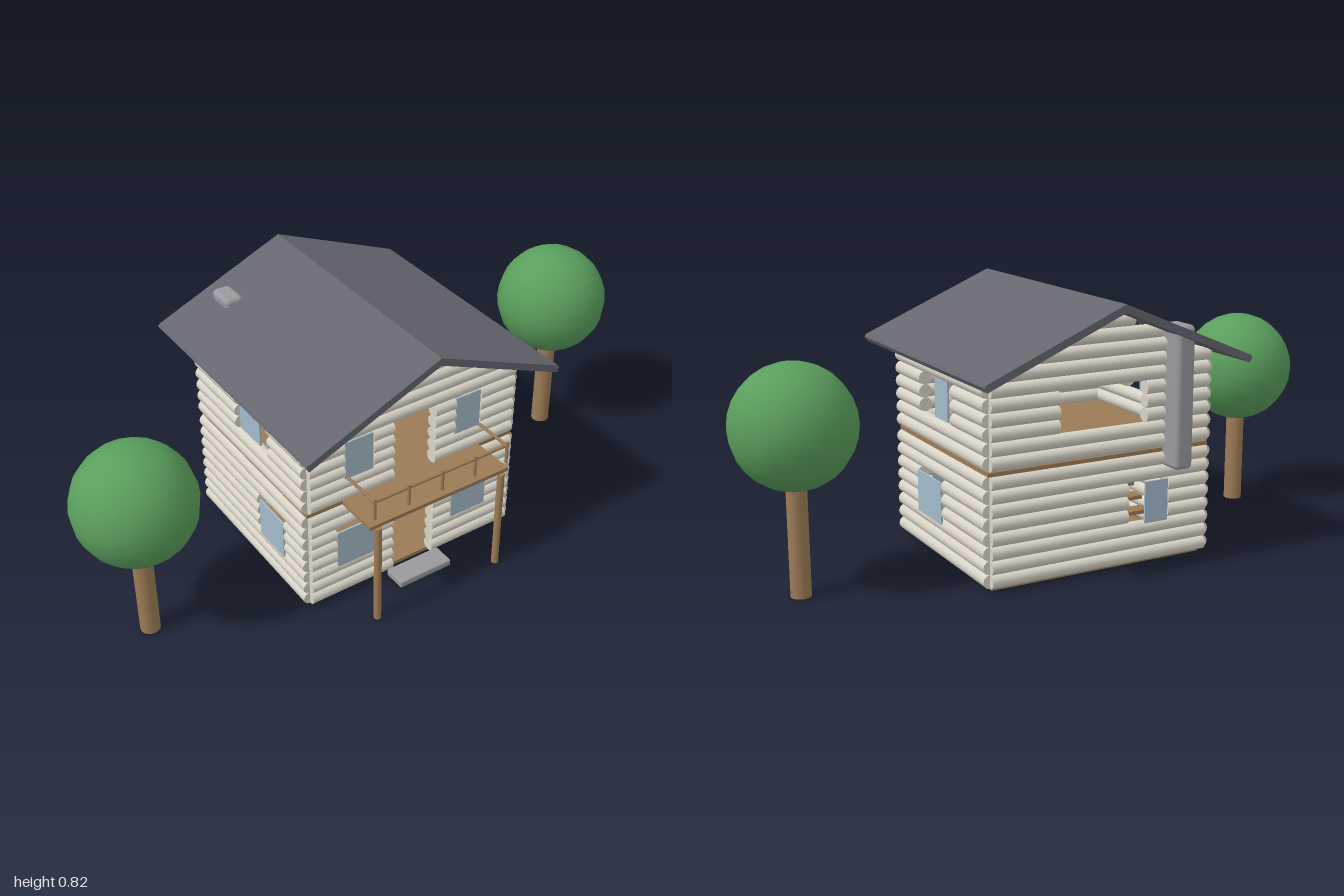
import * as THREE from 'three';
import { RoundedBoxGeometry } from 'three/addons/geometries/RoundedBoxGeometry.js';

const mat = (name, color) => {
  const m = new THREE.MeshStandardMaterial({ color });
  m.name = name;
  return m;
};

export function createModel() {
  const root = new THREE.Group();
  const M = {
    log: mat('paleLog', 0xd8d3c6),
    wood: mat('wood', 0x9c7b56),
    roof: mat('slate', 0x65666e),
    stone: mat('stone', 0x98989e),
    glass: mat('glass', 0xa3bac9),
    leaf: mat('leaf', 0x5a9e5c),
  };
  const add = (name, geo, m, x = 0, y = 0, z = 0, parent = root) => {
    const o = new THREE.Mesh(geo, m);
    o.name = name;
    o.position.set(x, y, z);
    parent.add(o);
    return o;
  };
  // Box given by its lower and upper limits on each axis
  const box = (name, m, x0, x1, y0, y1, z0, z1, parent) =>
    add(name, new THREE.BoxGeometry(x1 - x0, y1 - y0, z1 - z0), m,
      (x0 + x1) / 2, (y0 + y1) / 2, (z0 + z1) / 2, parent);
  // Round bar between two points
  const bar = (name, m, a, b, r, parent, sides = 12) => {
    const p = new THREE.Vector3(...a), q = new THREE.Vector3(...b);
    const d = q.clone().sub(p);
    const o = add(name, new THREE.CylinderGeometry(r, r, d.length(), sides), m, 0, 0, 0, parent);
    o.position.copy(p).add(q).multiplyScalar(0.5);
    o.quaternion.setFromUnitVectors(new THREE.Vector3(0, 1, 0), d.normalize());
    return o;
  };

  const CX = -0.02, PITCH = 0.0415, R = 0.0212;
  const XL = 0.344, XR = -0.384, ZF = 0.289, ZB = -0.324;
  const LOW = 0.015, HIGH = 0.36;

  // Stack of logs along one wall, cut where openings [a, b, y0, y1] lie
  const wall = (name, alongX, fixed, base, rows, openings, gable) => {
    const g = new THREE.Group();
    g.name = name;
    root.add(g);
    for (let i = 0; i < rows; i++) {
      const y = base + PITCH * (i + 0.5);
      let from = alongX ? XR : ZB, to = alongX ? XL : ZF;
      if (gable) {
        const half = (0.797 - y) / 0.43;
        from = Math.max(from, CX - half);
        to = Math.min(to, CX + half);
      }
      const cuts = openings.filter(o => y > o[2] && y < o[3]).sort((p, q) => p[0] - q[0]);
      let s = from;
      for (const [a, b] of [...cuts, [to, to]]) {
        if (a - s > 0.005) {
          bar('log', M.log, alongX ? [s, y, fixed] : [fixed, y, s],
            alongX ? [a, y, fixed] : [fixed, y, a], R, g);
        }
        s = b;
      }
    }
  };
  const lowY = [0.13, 0.265], highY = [0.44, 0.567];
  // Ground floor walls
  wall('lowerFrontWall', true, ZF, LOW, 8,
    [[-0.295, -0.165, ...lowY], [-0.095, 0.05, 0, 0.27], [0.12, 0.25, ...lowY]]);
  wall('lowerBackWall', true, ZB, LOW, 8, [[-0.245, -0.107, ...lowY]]);
  wall('lowerLeftWall', false, XL, LOW, 8, [[-0.04, 0.13, ...lowY]]);
  wall('lowerRightWall', false, XR, LOW, 8, [[0.03, 0.18, ...lowY]]);
  // Upper floor walls and gables
  wall('upperFrontWall', true, ZF, HIGH, 10,
    [[-0.265, -0.168, ...highY], [-0.095, 0.05, 0.3, 0.567], [0.125, 0.215, ...highY]], true);
  wall('upperBackWall', true, ZB, HIGH, 10, [[-0.165, 0.125, ...highY]], true);
  wall('upperLeftWall', false, XL, HIGH, 7, [[-0.11, 0.105, ...highY]]);
  wall('upperRightWall', false, XR, HIGH, 7, [[-0.08, 0.105, ...highY]]);

  // Window panes
  const T = 0.003;
  const paneX = (a, b, y0, y1, z) => box('windowPane', M.glass, a, b, y0, y1, z - T, z + T);
  const paneZ = (a, b, y0, y1, x) => box('windowPane', M.glass, x - T, x + T, y0, y1, a, b);
  paneX(-0.295, -0.165, 0.125, 0.255, ZF + 0.016);
  paneX(0.12, 0.25, 0.125, 0.26, ZF + 0.016);
  paneX(-0.265, -0.168, 0.44, 0.567, ZF + 0.012);
  paneX(0.125, 0.215, 0.44, 0.567, ZF + 0.012);
  paneX(-0.245, -0.165, 0.125, 0.262, ZB - 0.012);
  paneZ(-0.04, 0.13, 0.125, 0.255, XL + 0.018);
  paneZ(0.045, 0.18, 0.125, 0.255, XR - 0.018);
  paneZ(-0.06, 0.03, 0.44, 0.567, XL);
  paneZ(-0.08, 0.036, 0.44, 0.567, XR);

  // Floors
  box('groundFloor', M.wood, -0.375, 0.335, 0.004, 0.016, -0.315, 0.28);
  box('floorUnderside', M.wood, -0.355, 0.315, 0, 0.006, -0.29, 0.25);
  box('upperFloor', M.wood, -0.39, 0.35, 0.346, 0.358, -0.33, 0.295);

  // Indoor stairs and table
  const stairs = new THREE.Group();
  stairs.name = 'stairs';
  root.add(stairs);
  for (let i = 0; i < 8; i++) {
    const z = -0.26 + i * 0.048, y = 0.045 + i * 0.032;
    box('step', M.wood, -0.3, -0.13, y - 0.012, y, z, z + 0.05, stairs);
  }
  const table = new THREE.Group();
  table.name = 'table';
  root.add(table);
  box('tableTop', M.wood, -0.05, 0.12, 0.112, 0.122, -0.08, 0.04, table);
  for (const x of [-0.043, 0.113]) for (const z of [-0.073, 0.033])
    bar('tableLeg', M.wood, [x, 0.015, z], [x, 0.112, z], 0.005, table, 8);

  // Balcony with posts and railing
  const balcony = new THREE.Group();
  balcony.name = 'balcony';
  root.add(balcony);
  box('balconyDeck', M.wood, -0.27, 0.225, 0.346, 0.358, 0.28, 0.438, balcony);
  for (const x of [-0.243, 0.2])
    bar('balconyPost', M.wood, [x, 0, 0.438], [x, 0.346, 0.438], 0.0115, balcony);
  const RX0 = -0.255, RX1 = 0.215;
  for (let i = 0; i < 5; i++) {
    const x = RX0 + (RX1 - RX0) * i / 4;
    bar('baluster', M.wood, [x, 0.383, 0.438], [x, 0.455, 0.438], 0.005, balcony, 8);
  }
  bar('frontRail', M.wood, [RX0, 0.442, 0.435], [RX1, 0.442, 0.435], 0.005, balcony, 8);
  for (const x of [RX0, RX1])
    bar('sideRail', M.wood, [x, 0.442, 0.295], [x, 0.442, 0.438], 0.005, balcony, 8);

  // Pitched roof
  const s = new THREE.Shape();
  [[0, 0.82], [-0.432, 0.638], [-0.437, 0.63], [-0.428, 0.616], [0, 0.796],
    [0.428, 0.616], [0.437, 0.63], [0.432, 0.638]]
    .forEach(([x, y], i) => (i ? s.lineTo(x, y) : s.moveTo(x, y)));
  add('roof', new THREE.ExtrudeGeometry(s, { depth: 0.863, bevelEnabled: false }), M.roof, CX, 0, -0.45);

  // Chimney and doorstep
  add('chimney', new RoundedBoxGeometry(0.062, 0.432, 0.097, 3, 0.015), M.stone, -0.26, 0.517, -0.353);
  add('doorstep', new RoundedBoxGeometry(0.19, 0.023, 0.075, 2, 0.005), M.stone, -0.02, 0.0115, 0.34);

  // Trees
  for (const [x, y, z] of [[0.82, 0.495, -0.08], [-0.82, 0.47, 0.1]]) {
    const tree = new THREE.Group();
    tree.name = 'tree';
    root.add(tree);
    bar('trunk', M.wood, [x, 0, z], [x, y - 0.1, z], 0.03, tree, 16);
    add('crown', new THREE.SphereGeometry(0.181, 18, 14), M.leaf, x, y, z, tree);
  }
  return root;
}
